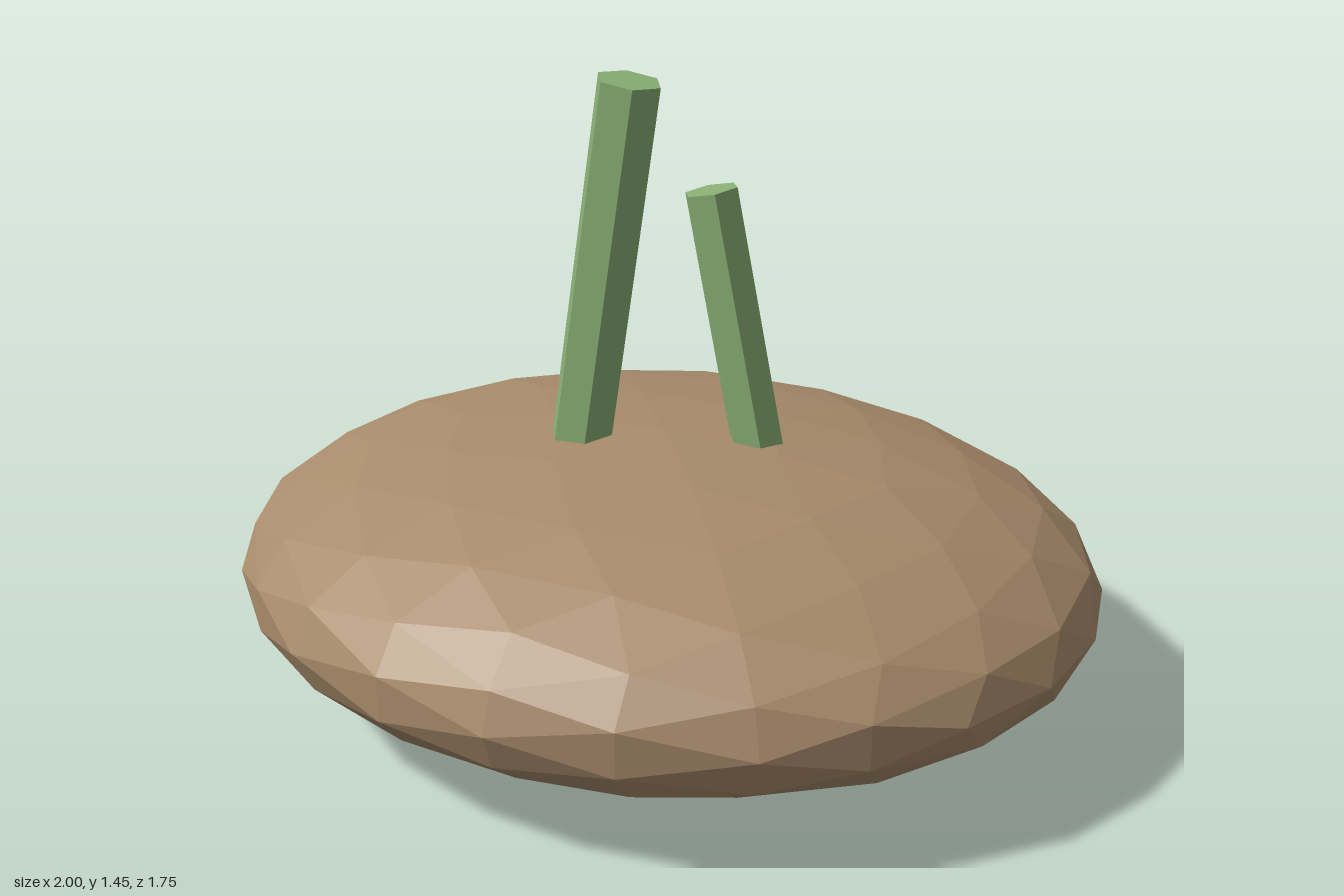
import * as THREE from 'three';

// Split every triangle in four and push the new corners out to the unit sphere
function subdivide(geometry) {
  const pos = geometry.attributes.position;
  const points = [];
  const mid = (p, q) => p.clone().add(q).normalize();
  for (let i = 0; i < pos.count; i += 3) {
    const [a, b, c] = [0, 1, 2].map((k) => new THREE.Vector3().fromBufferAttribute(pos, i + k).normalize());
    const ab = mid(a, b), bc = mid(b, c), ca = mid(c, a);
    points.push(a, ab, ca, ab, b, bc, ca, bc, c, ab, bc, ca);
  }
  return new THREE.BufferGeometry().setFromPoints(points);
}

// Six-sided stem leaning sideways, given the centre of its top end
function makeStem(name, material, radius, length, tilt, x, y, z) {
  const geometry = new THREE.CylinderGeometry(radius, radius, length, 6);
  geometry.rotateY(Math.PI / 2);
  geometry.translate(0, -length / 2, 0);
  const stem = new THREE.Mesh(geometry, material);
  stem.name = name;
  stem.rotation.z = tilt;
  stem.position.set(x, y, z);
  return stem;
}

export function createModel() {
  const model = new THREE.Group();
  model.name = 'sproutingMound';
  const soil = new THREE.MeshStandardMaterial({ color: 0xa88b6b });
  soil.name = 'soilBrown';
  soil.flatShading = true;
  const green = new THREE.MeshStandardMaterial({ color: 0x8ab075 });
  green.name = 'stemGreen';
  green.flatShading = true;

  // Flattened faceted mound
  const moundGeometry = subdivide(new THREE.IcosahedronGeometry(1, 1));
  moundGeometry.scale(1, 0.315, 0.875);
  moundGeometry.computeVertexNormals();
  const mound = new THREE.Mesh(moundGeometry, soil);
  mound.name = 'mound';
  mound.position.y = 0.315;
  model.add(mound);

  // Two stems leaning towards each other
  model.add(makeStem('tallStem', green, 0.073, 0.95, -0.15, -0.054, 1.435, 0.0625));
  model.add(makeStem('shortStem', green, 0.0625, 0.7, 0.2, 0.082, 1.182, -0.0625));
  return model;
}
